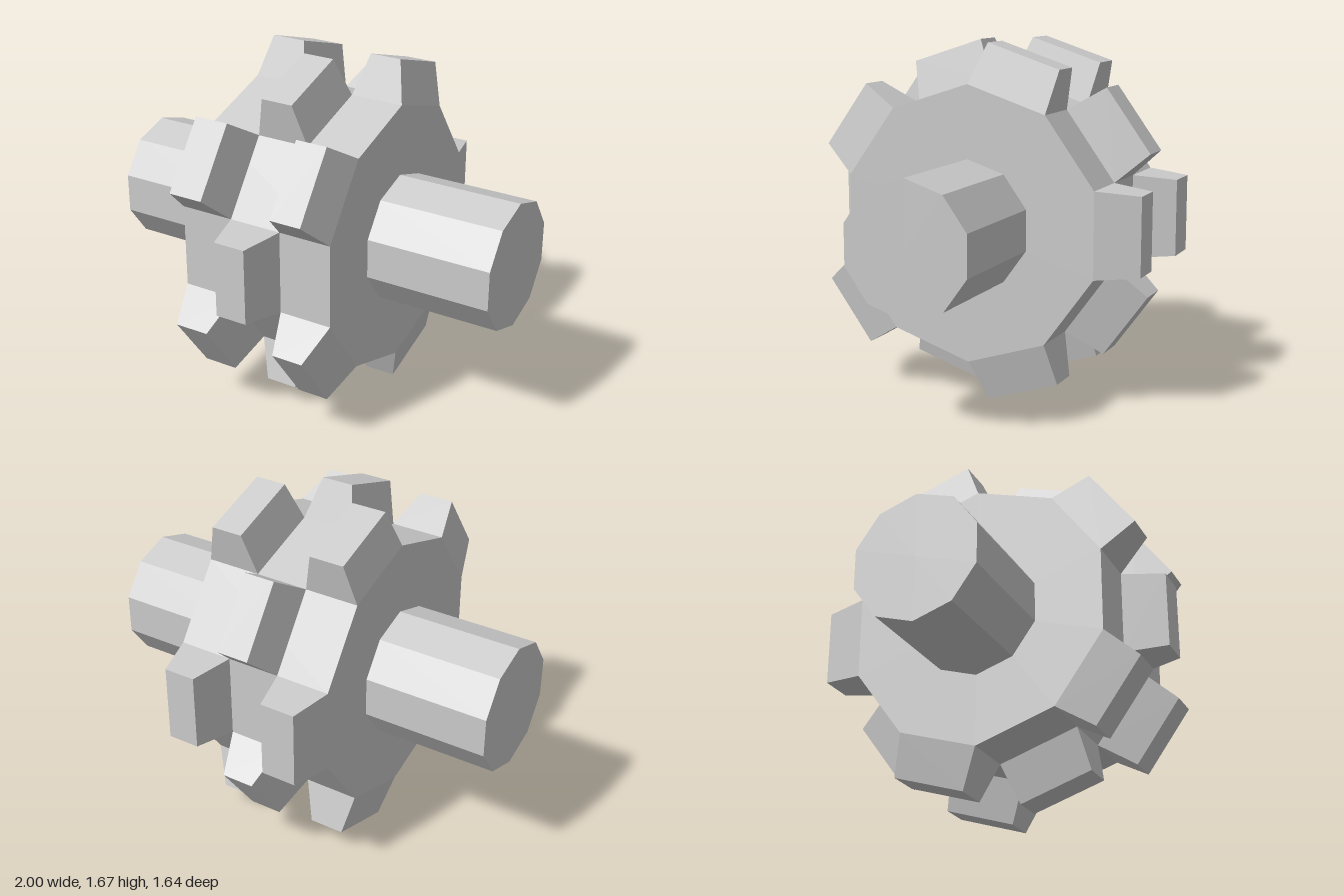
import * as THREE from 'three';

const SIDES = 10;
const STEP = (Math.PI * 2) / SIDES;
const AXIS_Y = 0.836;
const DISC_R = 0.65;
const FACE_R = DISC_R * Math.cos(STEP / 2);
const FACE_HALF = DISC_R * Math.sin(STEP / 2);
const TIP_R = 0.82;
const TIP_HALF = 0.183;

const material = new THREE.MeshStandardMaterial({ color: 0xcccccc, flatShading: true });

// Ten-sided prism along x, with a corner pointing straight up
function prism(name, radius, x0, x1) {
  const geo = new THREE.CylinderGeometry(radius, radius, x1 - x0, SIDES, 1, false, STEP / 2);
  geo.rotateZ(Math.PI / 2);
  geo.translate((x0 + x1) / 2, 0, 0);
  const mesh = new THREE.Mesh(geo, material);
  mesh.name = name;
  return mesh;
}

// Tapered block standing on one flat of the disc
function toothGeometry([b0, b1], [t0, t1]) {
  const geo = new THREE.BoxGeometry(1, 1, 1);
  const p = geo.attributes.position;
  for (let i = 0; i < p.count; i++) {
    const tip = p.getZ(i) > 0;
    const high = p.getX(i) > 0;
    const x = tip ? (high ? t1 : t0) : (high ? b1 : b0);
    const y = Math.sign(p.getY(i)) * (tip ? TIP_HALF : FACE_HALF);
    p.setXYZ(i, x, y, tip ? TIP_R : FACE_R);
  }
  geo.computeVertexNormals();
  return geo;
}

export function createModel() {
  const model = new THREE.Group();
  model.name = 'toothedRoller';
  const body = new THREE.Group();
  body.name = 'rollerBody';
  body.position.y = AXIS_Y;
  model.add(body);

  body.add(prism('disc', DISC_R, -0.395, 0.392));
  body.add(prism('rightShaft', 0.308, -1, -0.39));
  body.add(prism('leftShaft', 0.308, 0.39, 1));

  // Three rings of five teeth; the middle ring is offset by one flat
  const rings = [
    { name: 'rightTeeth', base: [-0.395, -0.13], tip: [-0.35, -0.18], first: 1 },
    { name: 'middleTeeth', base: [-0.13, 0.13], tip: [-0.08, 0.077], first: 0 },
    { name: 'leftTeeth', base: [0.13, 0.392], tip: [0.183, 0.337], first: 1 },
  ];
  for (const { name, base, tip, first } of rings) {
    const ring = new THREE.Group();
    ring.name = name;
    const geo = toothGeometry(base, tip);
    for (let k = first; k < SIDES; k += 2) {
      const tooth = new THREE.Mesh(geo, material);
      tooth.name = 'tooth';
      tooth.rotation.x = -k * STEP;
      ring.add(tooth);
    }
    body.add(ring);
  }
  return model;
}
